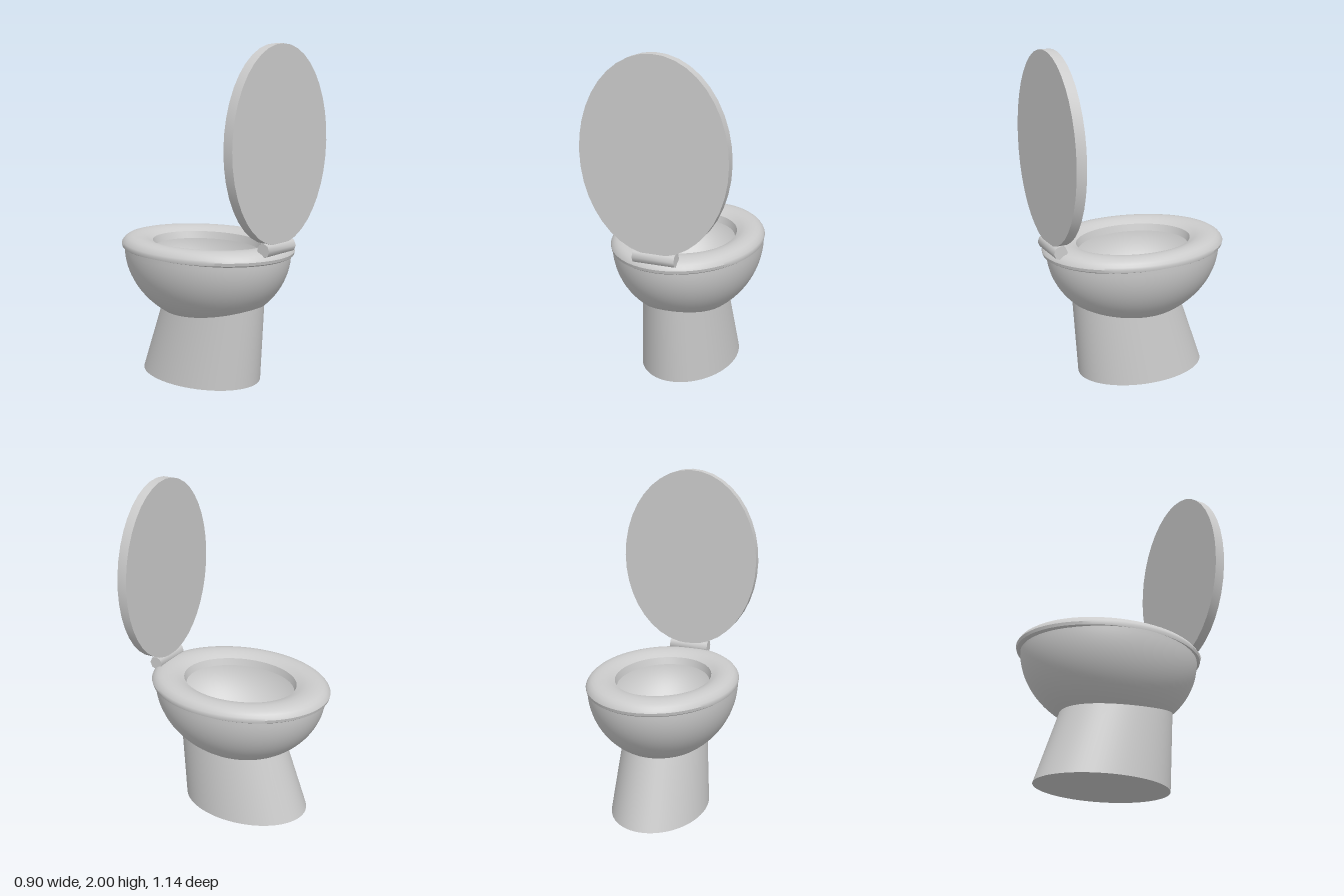
import * as THREE from 'three';
import { toCreasedNormals } from 'three/addons/utils/BufferGeometryUtils.js';

const material = new THREE.MeshStandardMaterial({ color: 0xcccccc });
const shellMaterial = new THREE.MeshStandardMaterial({ color: 0xcccccc, side: THREE.DoubleSide });

// Half-ellipsoid that the bowl follows: rim height, depth and half widths
const BOWL = { rim: 0.79, depth: 0.45, x: 0.445, z: 0.54 };
const bowlHeight = (x, z) =>
  BOWL.rim - BOWL.depth * Math.sqrt(Math.max(0, 1 - (x / BOWL.x) ** 2 - (z / BOWL.z) ** 2));

function addMesh(group, name, geometry, mat = material) {
  const mesh = new THREE.Mesh(geometry, mat);
  mesh.name = name;
  group.add(mesh);
  return mesh;
}

// Thin elliptical bowl
function bowlGeometry() {
  const points = [];
  for (let i = 0; i <= 24; i++) {
    const a = (i / 24) * Math.PI / 2;
    points.push(new THREE.Vector2(Math.sin(a), BOWL.rim - BOWL.depth * Math.cos(a)));
  }
  return new THREE.LatheGeometry(points, 64).scale(BOWL.x, 1, BOWL.z);
}

// Leaning, tapered foot whose top edge is trimmed to the bowl
function pedestalGeometry() {
  const geometry = new THREE.CylinderGeometry(1, 1, 1, 64, 1, true);
  const pos = geometry.attributes.position;
  for (let i = 0; i < pos.count; i++) {
    const cx = pos.getX(i), cz = pos.getZ(i);
    let y = pos.getY(i) > 0 ? 0.45 : 0, x, z;
    const place = () => {
      const t = y / 0.45;
      x = cx * (0.29 - 0.042 * t);
      z = cz * (0.405 - 0.063 * t) - 0.045 + 0.095 * t;
    };
    place();
    if (y > 0) {
      for (let k = 0; k < 12; k++) {
        y = bowlHeight(x, z);
        place();
      }
    }
    pos.setXYZ(i, x, y, z);
  }
  return toCreasedNormals(geometry, 0.7);
}

// Rounded seat ring, as a closed profile: outside, top, hole, underside
function seatGeometry() {
  const profile = [
    [0.605, 0.785], [0.97, 0.78], [0.992, 0.788], [1, 0.806], [0.99, 0.818],
    [0.965, 0.834], [0.93, 0.847], [0.88, 0.854], [0.82, 0.857], [0.75, 0.853],
    [0.69, 0.844], [0.63, 0.828], [0.605, 0.785],
  ].map(([r, y]) => new THREE.Vector2(r, y));
  return toCreasedNormals(new THREE.LatheGeometry(profile, 64).scale(0.448, 1, 0.569), 0.6);
}

export function createModel() {
  const group = new THREE.Group();
  group.name = 'toilet';

  addMesh(group, 'bowl', bowlGeometry(), shellMaterial);
  addMesh(group, 'pedestal', pedestalGeometry(), shellMaterial);

  // Underside of the pedestal
  const base = new THREE.CircleGeometry(1, 64).rotateX(Math.PI / 2).scale(0.29, 1, 0.405);
  addMesh(group, 'pedestalBase', base).position.z = -0.045;

  addMesh(group, 'seat', seatGeometry());

  // Raised oval lid
  const lid = new THREE.CylinderGeometry(1, 1, 0.06, 40).rotateX(Math.PI / 2).scale(0.432, 0.558, 1);
  addMesh(group, 'lid', toCreasedNormals(lid, 0.6)).position.set(0, 1.442, 0.525);

  // Hinge bar between seat and lid
  const hinge = new THREE.CylinderGeometry(0.042, 0.042, 0.25, 8).rotateZ(Math.PI / 2);
  addMesh(group, 'hinge', toCreasedNormals(hinge, 0.9)).position.set(0, 0.863, 0.527);

  return group;
}
